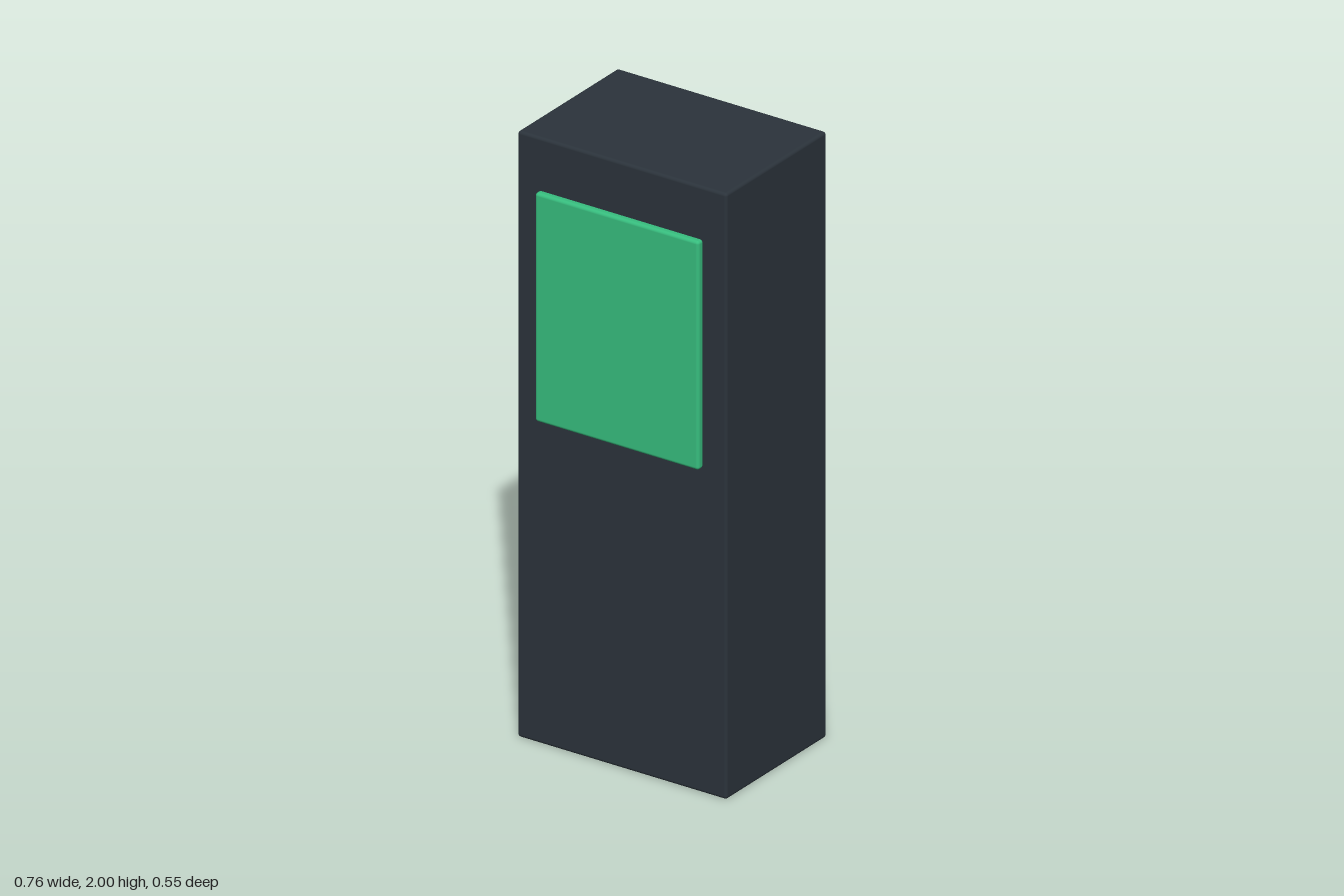
import * as THREE from 'three';
import { RoundedBoxGeometry } from 'three/addons/geometries/RoundedBoxGeometry.js';

// Softly rounded box spanning the corners min to max
function roundedBlock(name, min, max, radius, color) {
  const size = max.map((v, i) => v - min[i]);
  const mesh = new THREE.Mesh(
    new RoundedBoxGeometry(size[0], size[1], size[2], 3, radius),
    new THREE.MeshStandardMaterial({ color })
  );
  mesh.position.set(...max.map((v, i) => (v + min[i]) / 2));
  mesh.name = name;
  return mesh;
}

export function createModel() {
  const model = new THREE.Group();
  model.name = 'kiosk';
  // Tall cabinet standing on the ground
  model.add(roundedBlock('cabinet', [-0.378, 0, -0.275], [0.378, 2, 0.247], 0.01, 0x2b333b));
  // Thin display panel mounted on the upper front
  model.add(roundedBlock('screen', [-0.296, 1.075, 0.247], [0.296, 1.83, 0.275], 0.01, 0x37bd7e));
  return model;
}
